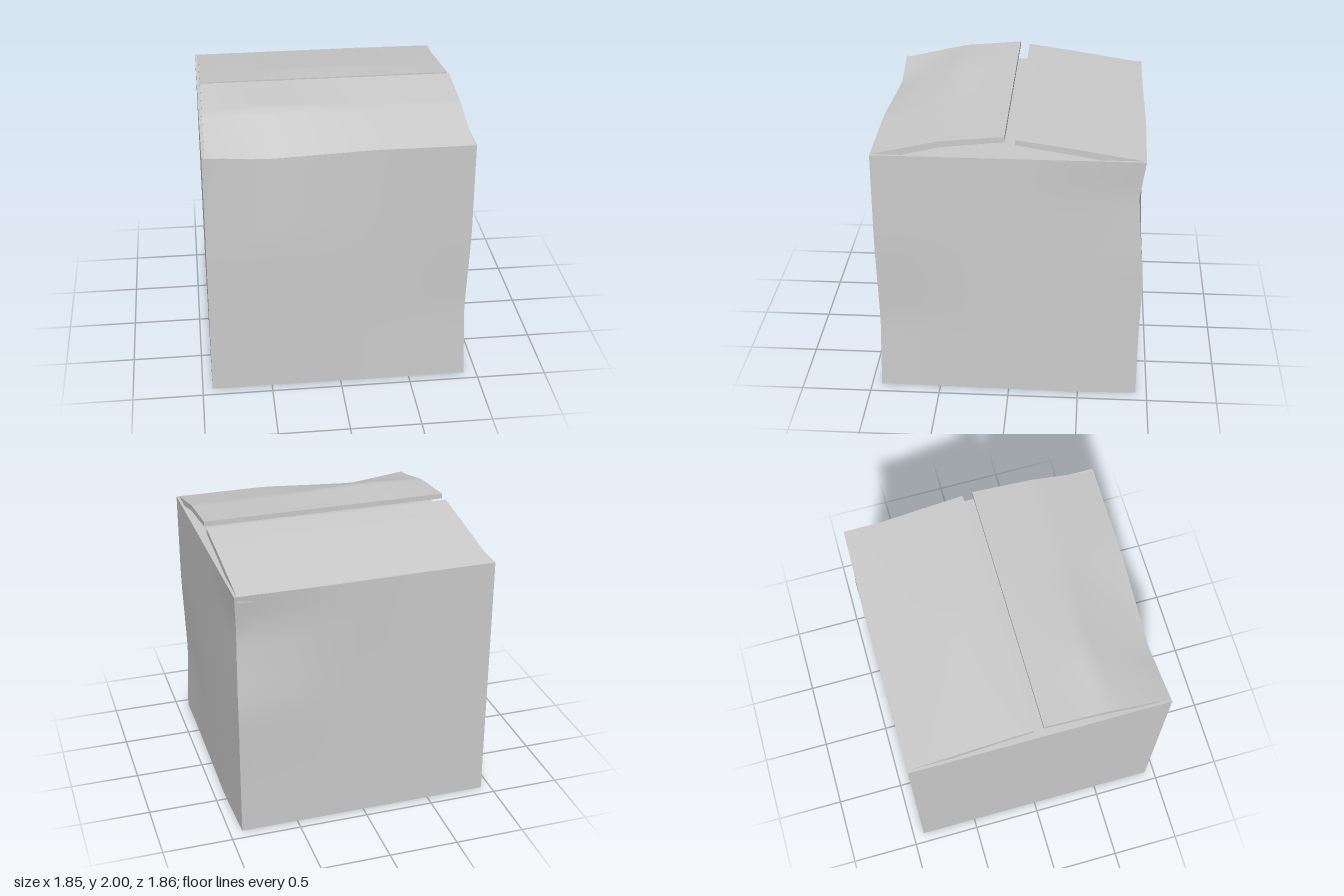
import * as THREE from 'three';

const clamp = THREE.MathUtils.clamp;

// 1 at c, falling in a straight line to 0 at a and b
function hat(t, a, c, b) {
  return t < c ? clamp((t - a) / (c - a), 0, 1) : clamp((b - t) / (b - c), 0, 1);
}

// 0 at a, rising to 1 at b
function ramp(t, a, b) {
  return clamp((t - a) / (b - a), 0, 1);
}

// Move every vertex by a rule; each side keeps its own smooth normals
function bend(geometry, rule) {
  const pos = geometry.attributes.position;
  const p = new THREE.Vector3();
  for (let i = 0; i < pos.count; i++) {
    p.fromBufferAttribute(pos, i);
    rule(p);
    pos.setXYZ(i, p.x, p.y, p.z);
  }
  geometry.computeVertexNormals();
  return geometry;
}

// The sagging stretch of the front top edge
const sagAt = (x) => hat(x, -0.93, -0.49, 0.22);

// Cardboard body with crushed edges
function bodyGeometry() {
  const g = new THREE.BoxGeometry(1.84, 1.85, 1.85, 17, 14, 14);
  g.translate(-0.01, 0.925, 0.005);
  return bend(g, (p) => {
    const { x, y, z } = p;
    const right = ramp(x, 0.1, 0.91), front = ramp(z, 0.1, 0.93), back = ramp(-z, 0.1, 0.92);
    const top = ramp(y, 1.2, 1.85);
    // sag of the front top edge
    const sag = sagAt(x) * top * front;
    p.y -= 0.042 * sag;
    p.z -= 0.025 * sag;
    // dent high on the back corner, bulge below it
    const dent = hat(y, 1.05, 1.58, 1.85) * right * back;
    p.x -= 0.015 * dent;
    p.z += 0.038 * dent;
    p.z -= 0.012 * hat(y, 0.45, 0.9, 1.25) * right * back;
    p.z -= 0.01 * hat(x, -0.45, 0.25, 0.9) * top * back;
    // dent low on the front corner
    const low = hat(y, 0, 0.55, 1.15) * right * front;
    p.x -= 0.02 * low;
    p.z -= 0.012 * low;
    // bulge along the bottom edge
    p.x += 0.015 * hat(z, -0.92, -0.45, 0.55) * right * ramp(1.2 - y, 0, 1.2);
  });
}

// Lid flap: side is +1 for front, -1 for back
function flapGeometry(side, hingeZ, foldZ, tipZ, foldY, tipY) {
  const g = new THREE.BoxGeometry(1.8, 1, 1, 18, 1, 16);
  g.translate(-0.01, 0, 0);
  return bend(g, (p) => {
    const t = 0.5 - side * p.z;
    const half = t < 0.5;
    const k = half ? t * 2 : t * 2 - 1;
    const z = half ? THREE.MathUtils.lerp(hingeZ, foldZ, k) : THREE.MathUtils.lerp(foldZ, tipZ, k);
    let y = half ? THREE.MathUtils.lerp(1.85, foldY, k) : THREE.MathUtils.lerp(foldY, tipY, k);
    let push = 0;
    if (side > 0) {
      // the fold rises where the hinge sags
      const sag = sagAt(p.x);
      y += sag * (0.025 * hat(t, 0, 0.5, 1) - 0.04 * (1 - ramp(t, 0, 0.5)));
      push = 0.022 * sag * (1 - ramp(t, 0, 0.5));
    } else {
      y += 0.012 * hat(p.x, -0.9, 0, 0.89) * hat(t, 0, 0.6, 1);
    }
    const thickness = THREE.MathUtils.lerp(0.05, 0.037, t);
    p.y = p.y > 0 ? y : y - thickness;
    p.z = z - push;
  });
}

export function createModel() {
  const group = new THREE.Group();
  group.name = 'cardboardBox';
  const material = new THREE.MeshStandardMaterial({ color: 0xcccccc });
  const add = (name, geometry) => {
    const mesh = new THREE.Mesh(geometry, material);
    mesh.name = name;
    group.add(mesh);
  };
  add('boxBody', bodyGeometry());
  add('frontFlap', flapGeometry(1, 0.926, 0.46, 0.025, 1.957, 2.0));
  add('backFlap', flapGeometry(-1, -0.916, -0.35, -0.045, 1.938, 1.98));
  return group;
}
